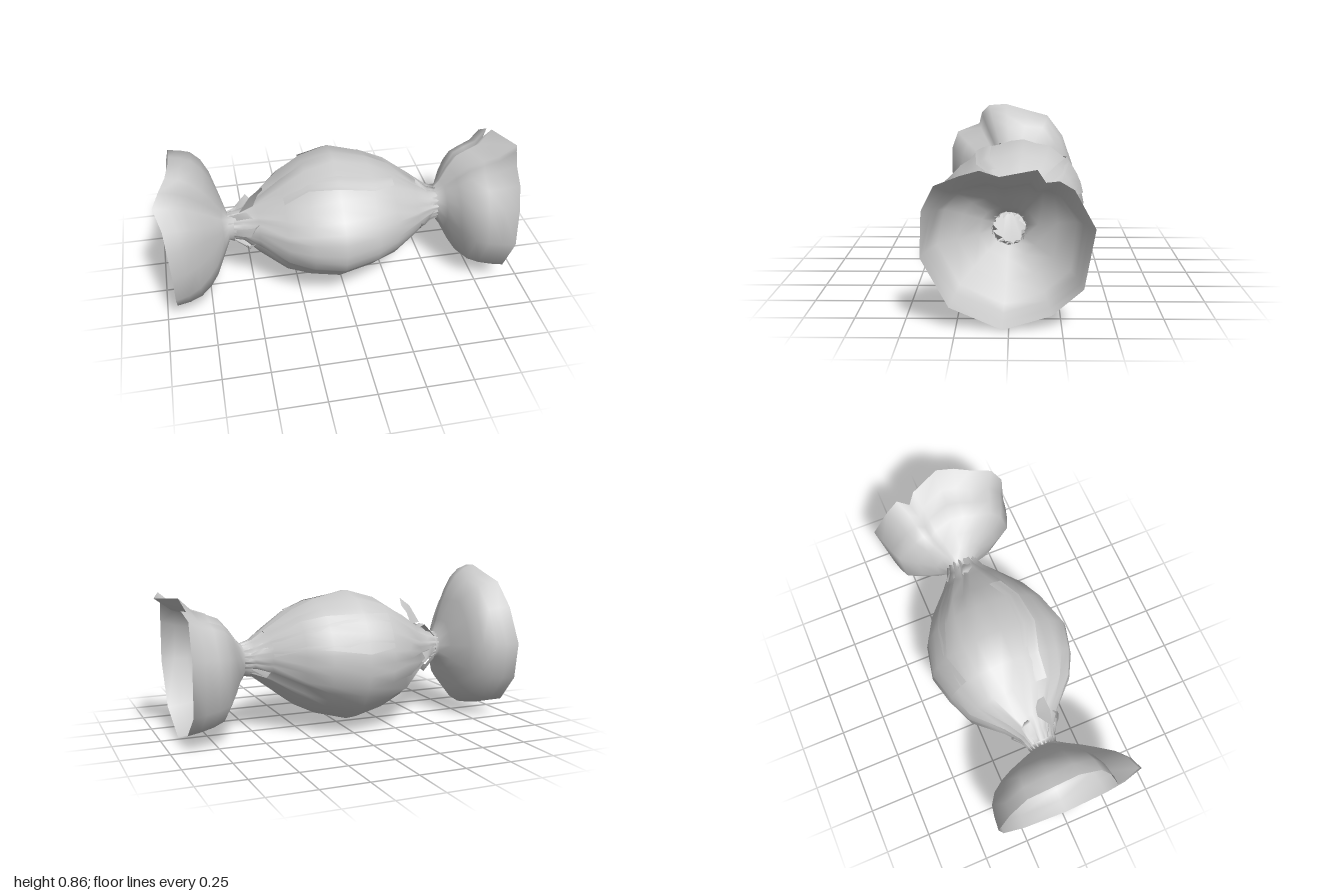
import * as THREE from 'three';

const material = new THREE.MeshStandardMaterial({ color: 0xcccccc, side: THREE.DoubleSide });
const AXIS_Y = 0.4;

// Skin through rows of points; closed rows wrap round into rings
function loft(name, rows, closed = true) {
  const n = rows[0].length;
  const index = [];
  for (let i = 0; i < rows.length - 1; i++) {
    for (let j = 0; j < (closed ? n : n - 1); j++) {
      const k = (j + 1) % n;
      const a = i * n + j, b = i * n + k, c = a + n, d = b + n;
      index.push(a, b, c, b, d, c);
    }
  }
  const geometry = new THREE.BufferGeometry();
  geometry.setAttribute('position', new THREE.Float32BufferAttribute(rows.flat(2), 3));
  geometry.setIndex(index);
  geometry.computeVertexNormals();
  const mesh = new THREE.Mesh(geometry, material);
  mesh.name = name;
  return mesh;
}

function seeded(seed) {
  return () => (seed = (seed * 16807) % 2147483647) / 2147483647;
}

// Body stations: x, top y, bottom y, back z, front z
const stations = [
  [-0.62, 0.48, 0.34, -0.07, 0.07],
  [-0.54, 0.50, 0.32, -0.10, 0.09],
  [-0.46, 0.54, 0.24, -0.16, 0.15],
  [-0.32, 0.63, 0.13, -0.31, 0.29],
  [-0.19, 0.71, 0.07, -0.37, 0.36],
  [-0.03, 0.76, 0.03, -0.41, 0.40],
  [0.16, 0.72, 0.08, -0.37, 0.345],
  [0.28, 0.67, 0.14, -0.30, 0.28],
  [0.42, 0.57, 0.25, -0.17, 0.17],
  [0.50, 0.51, 0.31, -0.11, 0.11],
  [0.56, 0.49, 0.32, -0.09, 0.09],
];
const SEGMENTS = 36;
const random = seeded(71);
const pleats = Array.from({ length: SEGMENTS }, (_, j) => (j % 2 ? -0.5 : 0.15) * random());

const bump = (angle, centre, width) => Math.exp(-(((angle - centre) / width) ** 2));

// Large dents and swellings of the body, as a factor on its radius
function bodyShape(x, angle) {
  const middle = bump(x, 0, 0.35);
  return 1
    - 0.07 * bump(angle, 1.38 + 0.25 * x, 0.17) // groove along the top
    - 0.10 * middle * bump(angle, 0.8, 0.35) // flat upper front
    - 0.14 * middle * bump(angle, 5.5, 0.38) // flat lower front
    - 0.10 * bump(x, 0.38, 0.2) * bump(angle, 3.95, 0.4) // dent in the lower back
    + 0.06 * bump(x, -0.25, 0.3) * bump(angle, 2.2, 0.45); // fuller upper back
}

// A point on the body, with pleats deepening towards the tied ends
function bodyPoint([x, top, bottom, back, front], angle, scale, pleat) {
  const s = Math.sin(angle), c = Math.cos(angle);
  const depth = 0.06 + 0.5 * THREE.MathUtils.smoothstep(Math.abs(x), 0.15, 0.5);
  const r = scale * (bodyShape(x, angle) + pleat * depth);
  return [
    x,
    AXIS_Y + r * s * (s > 0 ? top - AXIS_Y : AXIS_Y - bottom),
    r * c * (c > 0 ? front : -back),
  ];
}

function makeBody() {
  return loft('wrapperBody', stations.map((st) =>
    pleats.map((p, j) => bodyPoint(st, (j / SEGMENTS) * Math.PI * 2, 1, p))));
}

// Overlapping sheet edge lying on the body between two angles
function makeSeam(name, first, last, from, to) {
  const rows = stations.slice(first, last).map((st, i) => {
    const row = [];
    for (let k = 0; k <= 4; k++) {
      const angle = THREE.MathUtils.lerp(from, to, k / 4) + 0.08 * Math.sin(i * 1.7);
      row.push(bodyPoint(st, angle, k === 0 ? 1.02 : 1.004, 0));
    }
    return row;
  });
  return loft(name, rows, false);
}

// Flared tail: a neck ring opening out to an irregular rim.
// Each step is [share of length, flare on the full side, flare on the slack side].
function makeTail(name, rim, neckX, neckR, slackAngle, steps) {
  return loft(name, steps.map(([t, full, slack]) => rim.map(([x, y, z]) => {
    const angle = Math.atan2(y - AXIS_Y, z);
    const side = Math.max(0, Math.cos(angle - slackAngle));
    const f = THREE.MathUtils.lerp(full, slack, side);
    return [
      THREE.MathUtils.lerp(neckX, x, t),
      THREE.MathUtils.lerp(AXIS_Y + Math.sin(angle) * neckR, y, f),
      THREE.MathUtils.lerp(Math.cos(angle) * neckR, z, f),
    ];
  })));
}

const leftRim = [
  [0.90, 0.00, 0.03], [0.90, 0.11, 0.28], [0.90, 0.35, 0.41], [0.90, 0.57, 0.40],
  [0.91, 0.69, 0.34], [0.93, 0.74, 0.22], [0.96, 0.77, 0.13], [1.00, 0.75, 0.04],
  [0.91, 0.765, -0.13], [0.88, 0.70, -0.17], [0.92, 0.715, -0.23], [0.90, 0.67, -0.30],
  [0.91, 0.49, -0.40], [0.90, 0.20, -0.35], [0.90, 0.07, -0.20],
];
const leftSteps = [
  [-0.08, 0.03, 0.03], [0, 0, 0], [0.12, 0.2, 0.13], [0.26, 0.52, 0.36],
  [0.42, 0.81, 0.57], [0.6, 0.9, 0.66], [0.8, 0.96, 0.75], [1, 1, 1],
];
const rightRim = [
  [-0.94, 0.02, 0.02], [-0.94, 0.10, 0.26], [-0.94, 0.22, 0.36], [-0.94, 0.40, 0.40],
  [-0.95, 0.56, 0.40], [-0.96, 0.67, 0.36], [-1.00, 0.72, 0.22], [-0.96, 0.80, 0.20],
  [-0.92, 0.85, 0.15], [-0.90, 0.86, 0.04], [-0.90, 0.82, -0.10], [-0.90, 0.785, -0.23],
  [-0.92, 0.65, -0.33], [-0.94, 0.45, -0.40], [-0.94, 0.25, -0.37], [-0.94, 0.10, -0.24],
];
const rightSteps = [
  [-0.08, 0.03, 0.03], [0, 0, 0], [0.1, 0.25, 0.13], [0.26, 0.63, 0.36],
  [0.4, 0.82, 0.54], [0.58, 0.94, 0.76], [0.78, 0.98, 0.92], [1, 1, 1],
];

// Crumpled tucks around a neck, each a short bent strip
function makeTucks(name, neckX, direction, seed) {
  const rnd = seeded(seed);
  const group = new THREE.Group();
  group.name = name;
  for (let i = 0; i < 7; i++) {
    const angle = (i / 7) * Math.PI * 2 + rnd() * 0.6;
    const width = 0.16 + rnd() * 0.2;
    const rise = 0.02 + rnd() * 0.035;
    const shift = rnd() * 0.03;
    const skew = (rnd() - 0.5) * 0.3;
    const profile = [[-0.01, 0.07], [0.03, 0.085 + rise * 0.5], [0.08, 0.11 + rise], [0.11, 0.12]];
    group.add(loft('tuck', profile.map(([dx, r], k) => [-1, 0.3, 1].map((side) => {
      const a = angle + side * width * (1 - 0.15 * k) + k * skew;
      const rr = r + side * 0.01;
      return [neckX + direction * (dx + shift + side * skew * 0.1), AXIS_Y + Math.sin(a) * rr, Math.cos(a) * rr];
    })), false));
  }
  return group;
}

export function createModel() {
  const model = new THREE.Group();
  model.name = 'wrappedSweet';
  model.add(makeBody());
  model.add(makeSeam('topSeam', 3, 8, 1.05, 1.3));
  model.add(makeSeam('backSeam', 4, 9, 2.3, 2.9));
  model.add(makeTail('leftTail', leftRim, 0.55, 0.085, Math.PI / 2, leftSteps));
  model.add(makeTail('rightTail', rightRim, -0.62, 0.075, 0.45, rightSteps));
  model.add(makeTucks('leftTucks', 0.55, -1, 17));
  model.add(makeTucks('rightTucks', -0.6, 1, 43));

  // Loose corner standing up beside the right neck
  model.add(loft('looseCorner', [
    [[-0.56, 0.53, 0.07], [-0.48, 0.53, 0.02]],
    [[-0.50, 0.63, 0.08], [-0.45, 0.60, 0.02]],
    [[-0.43, 0.68, 0.07], [-0.425, 0.64, 0.04]],
  ], false));
  return model;
}
